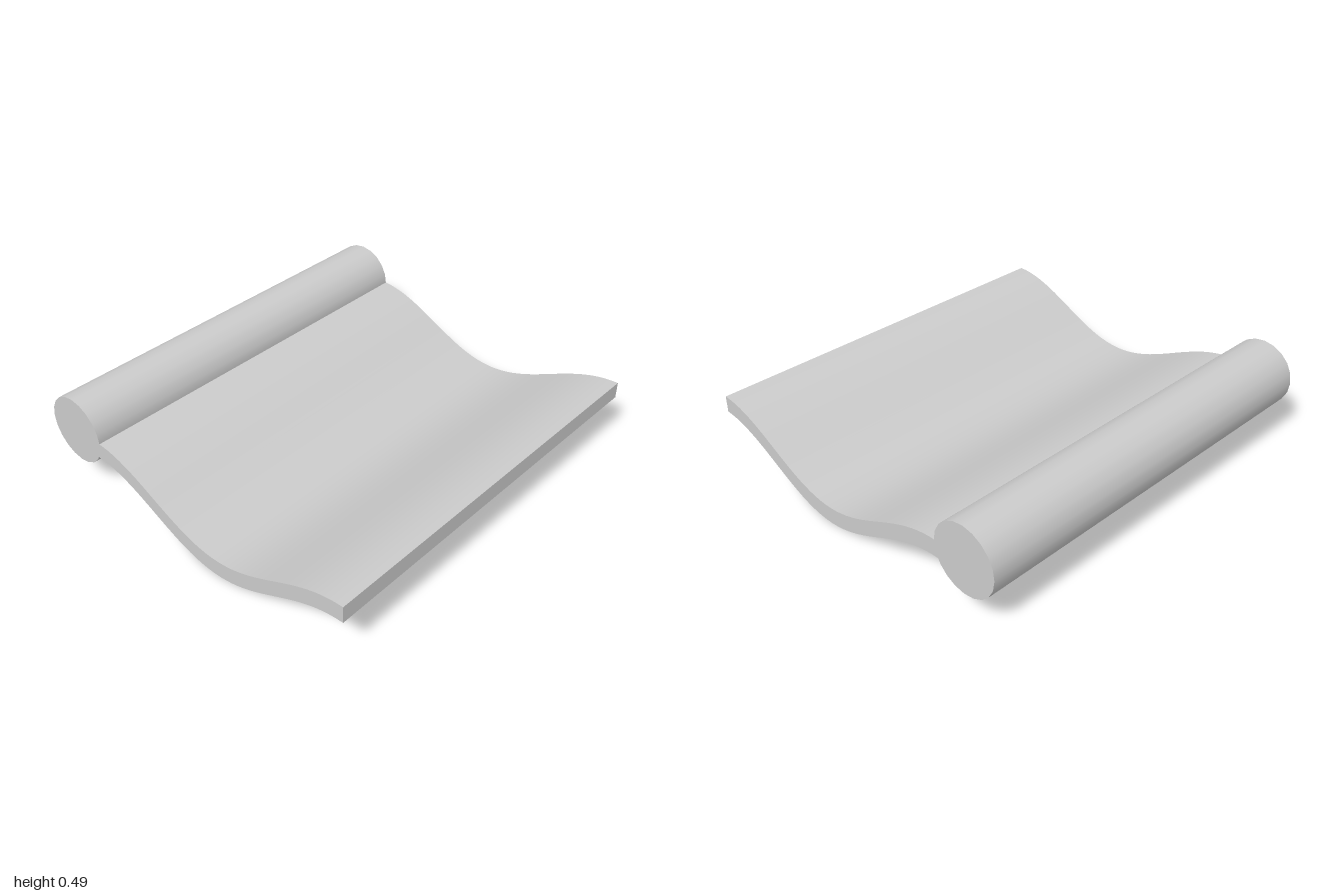
import * as THREE from 'three';
import { toCreasedNormals } from 'three/addons/utils/BufferGeometryUtils.js';

const WIDTH = 2, FRONT = 0.912, PERIOD = 1.5, DEPTH = 0.235, THICK = 0.085, STEPS = 40;

export function createModel() {
  const group = new THREE.Group();
  const material = new THREE.MeshStandardMaterial({ color: 0xcccccc });

  // Wavy sheet: one cosine trough of constant height, drawn from front to back
  const lower = [], upper = [];
  for (let i = 0; i <= STEPS; i++) {
    const t = i / STEPS;
    const u = -FRONT + PERIOD * t;
    const y = (DEPTH / 2) * (1 + Math.cos(2 * Math.PI * t));
    lower.push(new THREE.Vector2(u, y));
    upper.push(new THREE.Vector2(u, y + THICK));
  }
  // Short flat tail that sinks into the roll
  const tail = -FRONT + PERIOD + 0.03;
  lower.push(new THREE.Vector2(tail, DEPTH));
  upper.push(new THREE.Vector2(tail, DEPTH + THICK));

  const sheetShape = new THREE.Shape([...lower, ...upper.reverse()]);
  const sheetGeometry = new THREE.ExtrudeGeometry(sheetShape, { depth: WIDTH, bevelEnabled: false });
  sheetGeometry.translate(0, 0, -WIDTH / 2).rotateY(Math.PI / 2);
  const sheet = new THREE.Mesh(toCreasedNormals(sheetGeometry, 0.6), material);
  sheet.name = 'wavySheet';
  group.add(sheet);

  // Solid roll along the back edge
  const rollGeometry = new THREE.CylinderGeometry(0.17, 0.17, WIDTH, 20);
  rollGeometry.rotateZ(Math.PI / 2);
  const roll = new THREE.Mesh(rollGeometry, material);
  roll.name = 'backRoll';
  roll.position.set(0, 0.315, -0.742);
  group.add(roll);

  return group;
}
